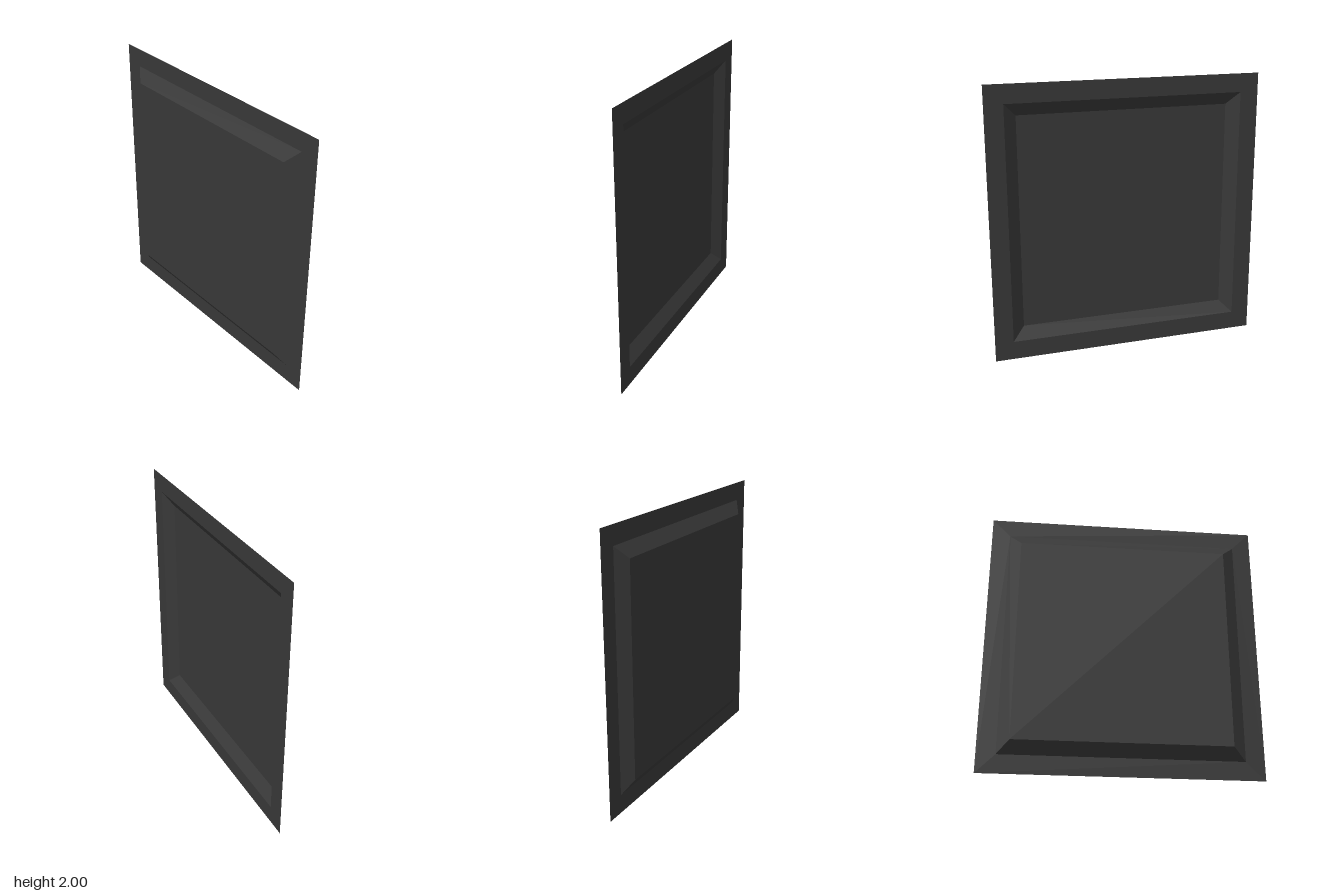
import * as THREE from 'three';

const OUTER = 1, RIM = 0.865, FACE = 0.775; // half widths
const BACK = -0.03, FRONT = 0.03;

function square(half, Type = THREE.Shape) {
  return new Type([[-1, -1], [1, -1], [1, 1], [-1, 1]].map(([x, y]) => new THREE.Vector2(x * half, y * half)));
}

export function createModel() {
  const charcoal = new THREE.MeshStandardMaterial({ color: 0x383838, side: THREE.DoubleSide });
  charcoal.name = 'charcoal';

  const group = new THREE.Group();
  group.name = 'raisedPanel';
  function add(name, geometry, z) {
    const mesh = new THREE.Mesh(geometry, charcoal);
    mesh.name = name;
    mesh.position.set(0, 1, z);
    group.add(mesh);
  }

  // Flat outer border
  const frame = square(OUTER);
  frame.holes.push(square(RIM, THREE.Path));
  add('border', new THREE.ShapeGeometry(frame), BACK);

  // Four sloping sides, open at the back
  const slope = new THREE.CylinderGeometry(FACE * Math.SQRT2, RIM * Math.SQRT2, FRONT - BACK, 4, 1, true, Math.PI / 4)
    .rotateX(Math.PI / 2).toNonIndexed();
  slope.computeVertexNormals();
  add('bevel', slope, 0);

  // Raised centre sheet
  add('centrePanel', new THREE.PlaneGeometry(FACE * 2, FACE * 2), FRONT);

  return group;
}
